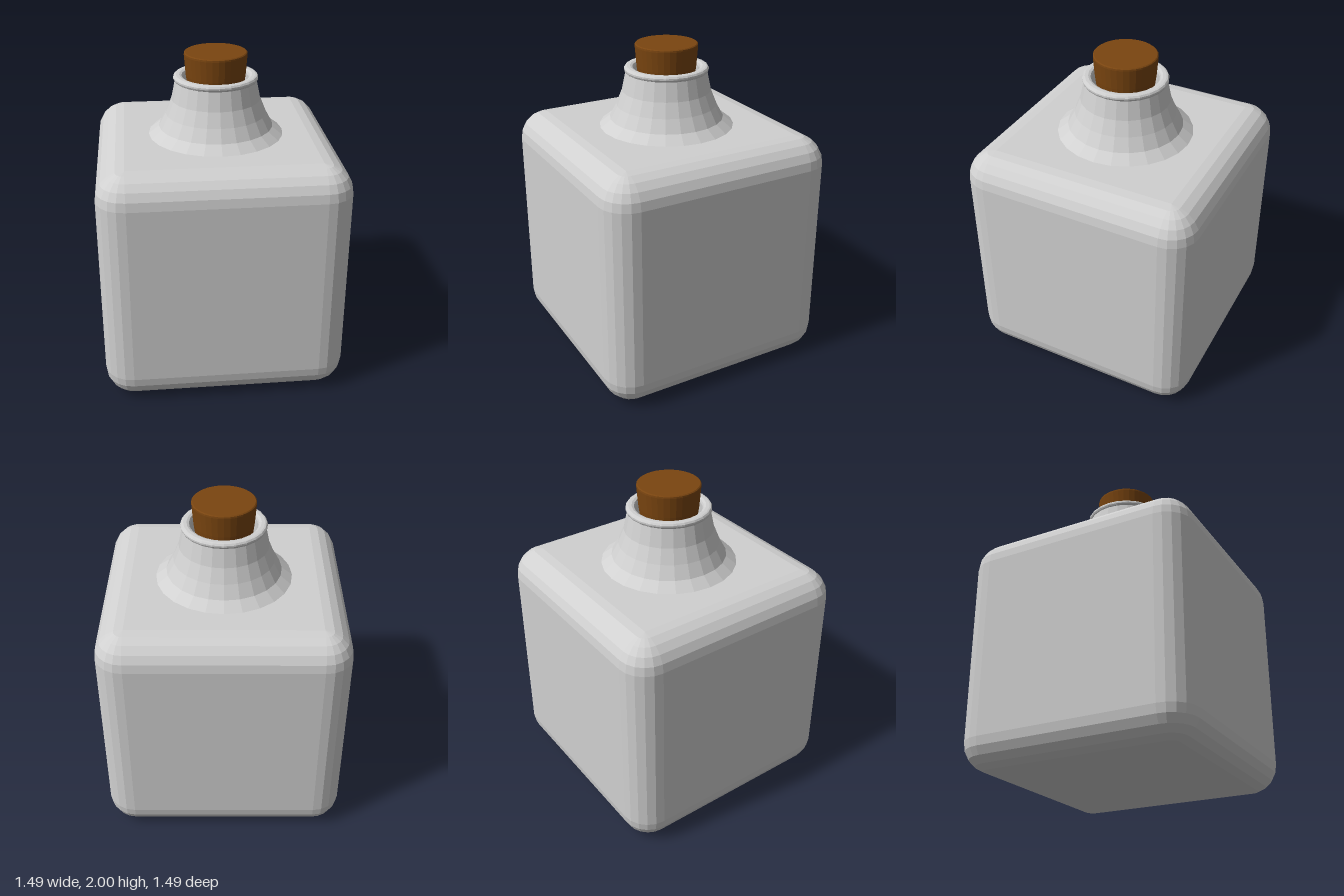
import * as THREE from 'three';

const glass = new THREE.MeshStandardMaterial({ name: 'paleGrey', color: 0xd0d0d0, flatShading: true });
const corkBrown = new THREE.MeshStandardMaterial({ name: 'corkBrown', color: 0x7a4510, flatShading: true });

// Box with bevelled edges: stacked rounded-square rings, capped at both ends.
function bevelledBox(half, radius, steps) {
  const core = half - radius;
  const positions = [];
  const index = [];
  const perRing = 4 * (steps + 1);
  const rings = 2 * (steps + 1);
  for (let i = 0; i < rings; i++) {
    const upper = i > steps;
    const lat = ((upper ? i - 1 : i) / (2 * steps) - 0.5) * Math.PI;
    const y = half + (upper ? core : -core) + radius * Math.sin(lat);
    for (let corner = 0; corner < 4; corner++) {
      const mid = (corner + 0.5) * Math.PI / 2;
      for (let s = 0; s <= steps; s++) {
        const a = (corner + s / steps) * Math.PI / 2;
        const r = radius * Math.cos(lat);
        positions.push(
          Math.sign(Math.cos(mid)) * core + r * Math.cos(a), y,
          Math.sign(Math.sin(mid)) * core + r * Math.sin(a));
      }
    }
  }
  const bottom = rings * perRing;
  positions.push(0, 0, 0, 0, 2 * half, 0);
  for (let j = 0; j < perRing; j++) {
    const k = (j + 1) % perRing;
    for (let i = 0; i < rings - 1; i++) {
      const a = i * perRing + j, b = i * perRing + k;
      index.push(a, a + perRing, b, b, a + perRing, b + perRing);
    }
    const top = (rings - 1) * perRing;
    index.push(bottom, j, k, bottom + 1, top + k, top + j);
  }
  const indexed = new THREE.BufferGeometry();
  indexed.setAttribute('position', new THREE.Float32BufferAttribute(positions, 3));
  indexed.setIndex(index);
  const geometry = indexed.toNonIndexed();
  geometry.computeVertexNormals();
  return geometry;
}

function lathe(profile, sides) {
  return new THREE.LatheGeometry(profile.map(([x, y]) => new THREE.Vector2(x, y)), sides);
}

export function createModel() {
  const group = new THREE.Group();
  group.name = 'corkedBottle';
  const add = (name, geometry, material) => {
    const mesh = new THREE.Mesh(geometry, material);
    mesh.name = name;
    group.add(mesh);
  };

  add('body', bevelledBox(0.745, 0.175, 5), glass);

  // Flared neck, rolled lip and inner wall
  add('neck', lathe([
    [0.42, 1.488], [0.353, 1.54], [0.31, 1.62], [0.274, 1.71], [0.25, 1.825],
    [0.254, 1.828], [0.259, 1.838], [0.259, 1.848], [0.252, 1.858], [0.242, 1.861],
    [0.222, 1.861], [0.208, 1.855], [0.202, 1.84], [0.2, 1.72], [0, 1.72],
  ], 24), glass);

  // Tapered stopper with a softened top edge
  add('cork', lathe([
    [0, 1.73], [0.165, 1.73], [0.182, 1.86], [0.192, 1.985], [0.191, 1.995], [0.185, 2], [0, 2],
  ], 32), corkBrown);

  return group;
}
